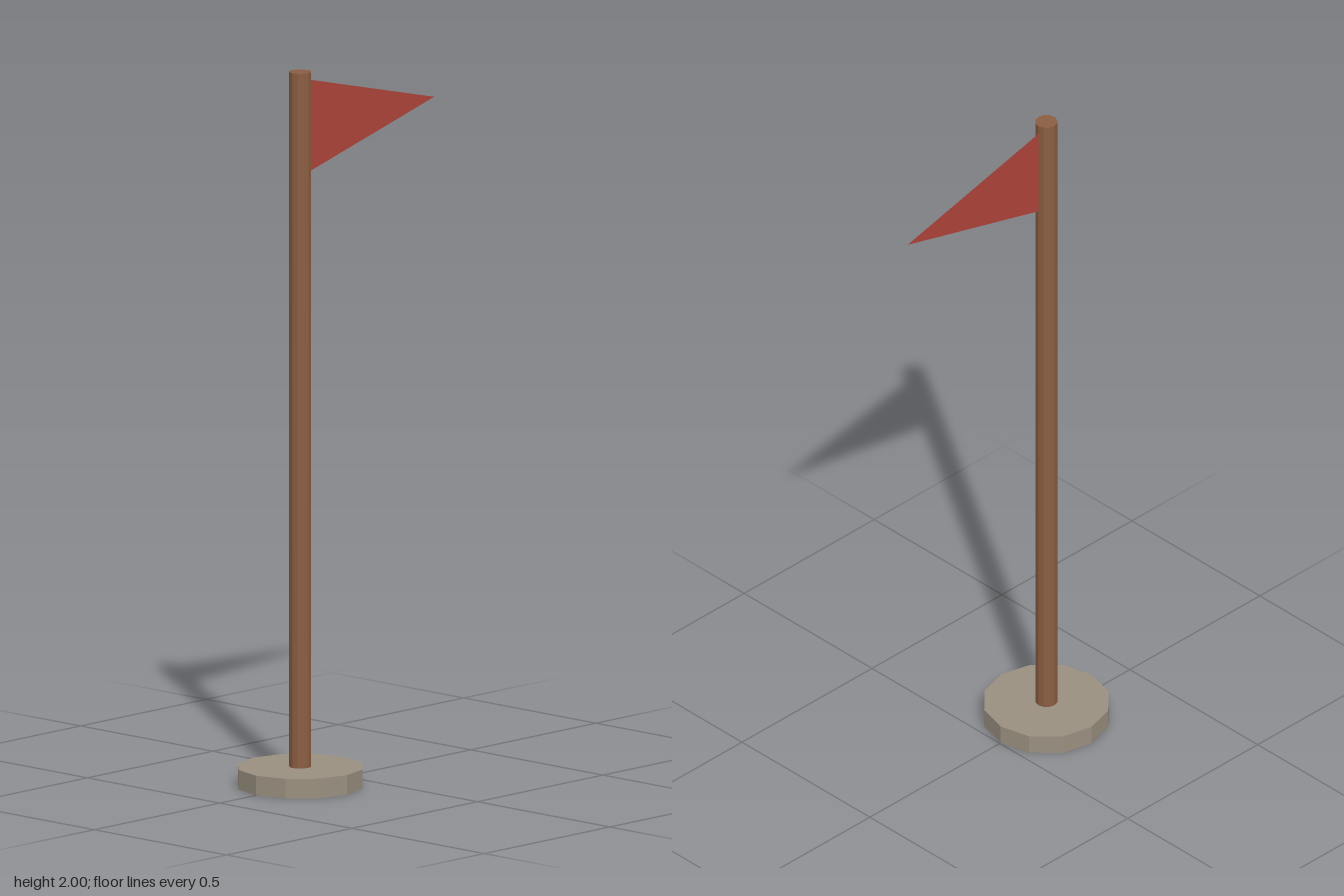
import * as THREE from 'three';

const SIDES = 12;
const POLE_X = -0.179;

function flat(name, color, side = THREE.FrontSide) {
  const material = new THREE.MeshStandardMaterial({ color, flatShading: true, side });
  material.name = name;
  return material;
}

// Upright cylinder standing on the ground at the pole's position
function post(name, radius, height, material) {
  const mesh = new THREE.Mesh(new THREE.CylinderGeometry(radius, radius, height, SIDES), material);
  mesh.name = name;
  mesh.position.set(POLE_X, height / 2, 0);
  return mesh;
}

export function createModel() {
  const group = new THREE.Group();
  group.name = 'flagpole';

  const stone = flat('stone', 0x9a9080);
  const wood = flat('wood', 0x8b5e42);
  const cloth = flat('red cloth', 0xb0453b, THREE.DoubleSide);

  // Base disc and pole
  group.add(post('base', 0.176, 0.055, stone));
  group.add(post('pole', 0.031, 2, wood));

  // Single-sheet pennant
  const outline = new THREE.Shape([
    new THREE.Vector2(POLE_X + 0.029, 1.974),
    new THREE.Vector2(POLE_X + 0.029, 1.713),
    new THREE.Vector2(0.355, 1.85),
  ]);
  const flag = new THREE.Mesh(new THREE.ShapeGeometry(outline), cloth);
  flag.name = 'pennant';
  group.add(flag);

  return group;
}
